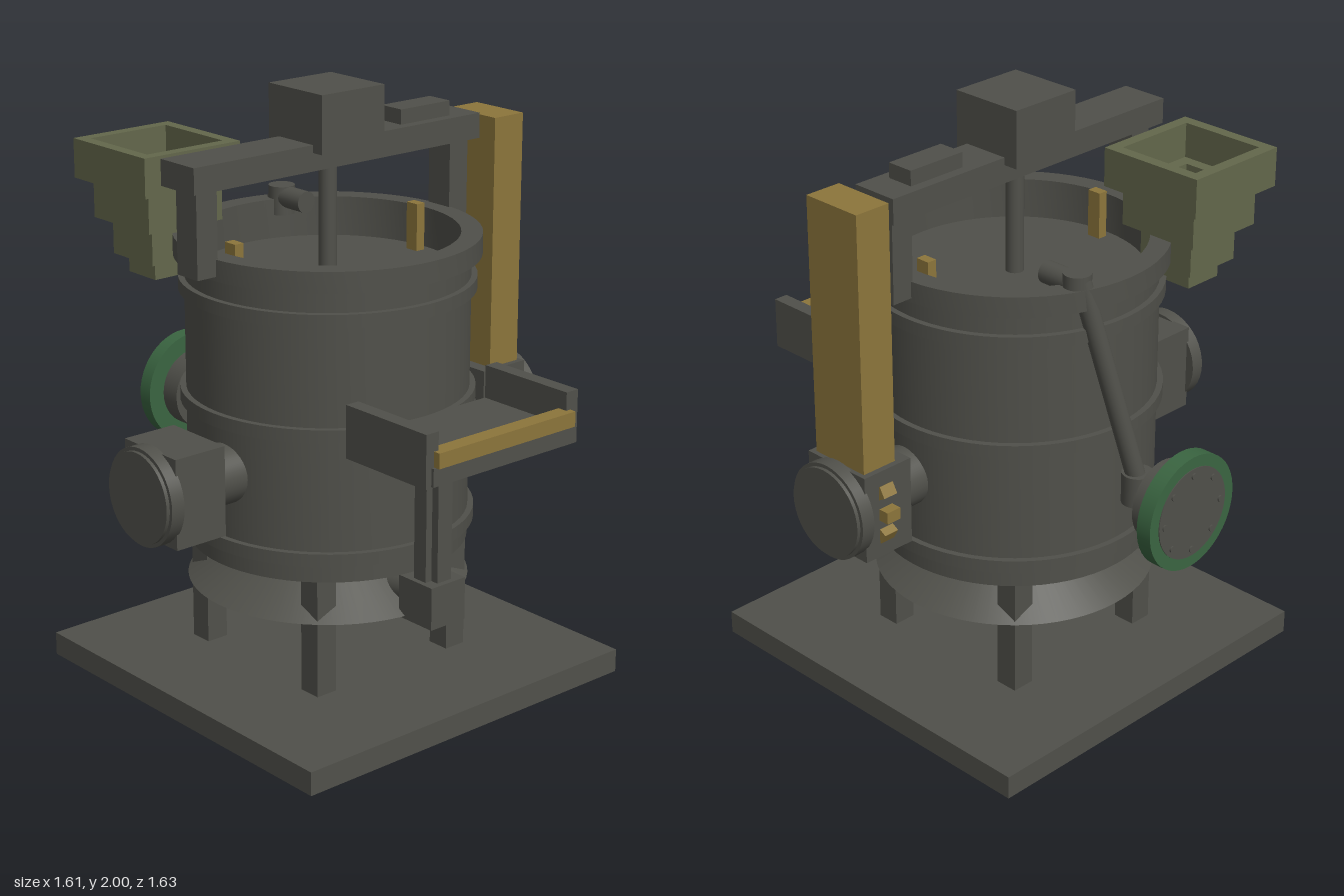
import * as THREE from 'three';
import { toCreasedNormals } from 'three/addons/utils/BufferGeometryUtils.js';

const paint = (name, color) => {
  const m = new THREE.MeshStandardMaterial({ color });
  m.name = name;
  return m;
};

export function createModel() {
  const model = new THREE.Group();
  model.name = 'industrialMixer';
  const steel = paint('darkSteel', 0x50504a);
  const yellow = paint('ochreYellow', 0x8c753b);
  const olive = paint('oliveGreen', 0x63674b);
  const green = paint('valveGreen', 0x3a6541);

  const add = (name, geometry, material, parent = model) => {
    const mesh = new THREE.Mesh(geometry, material);
    mesh.name = name;
    parent.add(mesh);
    return mesh;
  };
  // Box given by its limits on each axis
  const box = (name, mat, x0, x1, y0, y1, z0, z1, parent) => {
    const mesh = add(name, new THREE.BoxGeometry(x1 - x0, y1 - y0, z1 - z0), mat, parent);
    mesh.position.set((x0 + x1) / 2, (y0 + y1) / 2, (z0 + z1) / 2);
    return mesh;
  };
  // Cylinder running from point a to point b
  const rod = (name, mat, a, b, r, sides = 32, parent) => {
    const p = new THREE.Vector3(...a), q = new THREE.Vector3(...b);
    const dir = q.clone().sub(p);
    const mesh = add(name, new THREE.CylinderGeometry(r, r, dir.length(), sides), mat, parent);
    mesh.position.copy(p).add(q).multiplyScalar(0.5);
    mesh.quaternion.setFromUnitVectors(new THREE.Vector3(0, 1, 0), dir.normalize());
    return mesh;
  };
  const lathe = (name, mat, points) => {
    const g = new THREE.LatheGeometry(points.map(([x, y]) => new THREE.Vector2(x, y)), 64);
    return add(name, toCreasedNormals(g, 0.5), mat);
  };

  const cz = -0.03; // tank axis

  // Base plate and legs
  box('basePlate', steel, -0.675, 0.675, 0.005, 0.085, -0.675, 0.675);
  for (const x of [-0.285, 0.285]) {
    for (const z of [0.255, -0.315]) {
      box('leg', steel, x - 0.04, x + 0.04, 0.08, 0.5, z - 0.04, z + 0.04);
    }
  }

  // Tank with raised rim, recessed lid, hoops and flared skirt
  lathe('tank', steel, [
    [0, 0.49], [0.465, 0.49], [0.465, 1.455], [0.5, 1.455],
    [0.5, 1.525], [0.43, 1.525], [0.43, 1.39], [0, 1.39],
  ]).position.z = cz;
  for (const y of [0.572, 0.988, 1.362]) {
    rod('tankHoop', steel, [0, y - 0.022, cz], [0, y + 0.022, cz], 0.485, 64);
  }
  lathe('skirt', steel, [[0, 0.345], [0.47, 0.345], [0.235, 0.492]]).position.z = cz;

  // Overhead beam, motor and mixing shaft
  box('beam', steel, -0.6, 0.595, 1.75, 1.835, -0.115, 0.05);
  box('motor', steel, -0.13, 0.13, 1.81, 2, -0.165, 0.095);
  box('controlBox', steel, 0.275, 0.49, 1.83, 1.885, -0.08, 0.015);
  rod('mixingShaft', steel, [0, 1.38, cz], [0, 1.76, cz], 0.03, 16);
  for (const s of [-1, 1]) {
    box('beamPost', steel, s * 0.53 - 0.04, s * 0.53 + 0.04, 1.47, 1.76, -0.08, 0.02);
    box('lidLug', yellow, s * 0.385 - 0.017, s * 0.385 + 0.017, 1.385, 1.55, -0.055, -0.005);
  }

  // Side bearings: axle, housing and end cap on both sides
  rod('axle', steel, [-0.57, 0.81, 0], [0.57, 0.81, 0], 0.1);
  for (const s of [-1, 1]) {
    const x = s * 0.657;
    box('bearingHousing', steel, x - 0.096, x + 0.096, 0.66, 0.96, -0.13, 0.13);
    rod('endCap', steel, [s * 0.745, 0.81, 0], [s * 0.793, 0.81, 0], 0.162, 40);
    rod('endCapFace', steel, [s * 0.79, 0.81, 0], [s * 0.805, 0.81, 0], 0.15, 40);
  }
  box('axleKey', yellow, 0.52, 0.57, 0.9, 0.92, -0.02, 0.02);

  // Drive column and the toothed wheel below it
  box('driveColumn', yellow, 0.608, 0.737, 0.955, 1.825, -0.11, 0.11);
  const wheel = new THREE.Group();
  wheel.name = 'driveWheel';
  wheel.position.set(0.668, 0.81, 0);
  model.add(wheel);
  rod('wheelHub', yellow, [-0.027, 0, 0], [0.027, 0, 0], 0.125, 24, wheel);
  for (let i = 0; i < 12; i++) {
    const a = (i * Math.PI) / 6;
    const tooth = add('wheelTooth', new THREE.BoxGeometry(0.054, 0.04, 0.06), yellow, wheel);
    tooth.position.set(0, Math.sin(a) * 0.137, Math.cos(a) * 0.137);
    tooth.rotation.x = -a;
  }

  // Front tray on a ribbed post
  box('trayFloor', steel, -0.3, 0.3, 0.95, 1.01, 0.43, 0.8);
  box('trayLip', yellow, -0.29, 0.29, 1.01, 1.06, 0.757, 0.813);
  for (const s of [-1, 1]) {
    box('traySide', steel, s * 0.297 - 0.025, s * 0.297 + 0.025, 0.945, 1.12, 0.43, 0.79);
  }
  box('trayPost', steel, -0.055, 0.055, 0.47, 0.95, 0.455, 0.51);
  box('trayPostRib', steel, -0.03, 0.03, 0.47, 0.95, 0.43, 0.538);
  box('postFoot', steel, -0.073, 0.073, 0.335, 0.48, 0.405, 0.558);

  // Drain pipe with its small handwheel
  rod('drainPipe', steel, [0, 0.41, 0.42], [0, 0.345, -0.03], 0.05, 24);
  const handwheel = new THREE.Group();
  handwheel.name = 'drainHandwheel';
  handwheel.position.set(0.095, 0.397, 0.32);
  handwheel.rotation.y = Math.PI / 2;
  model.add(handwheel);
  add('handwheelRim', new THREE.TorusGeometry(0.068, 0.008, 8, 32), steel, handwheel);
  rod('handwheelSpoke', yellow, [-0.066, 0, 0], [0.066, 0, 0], 0.007, 8, handwheel);
  rod('handwheelSpoke', yellow, [0, -0.066, 0], [0, 0.066, 0], 0.007, 8, handwheel);
  rod('handwheelStem', steel, [0, 0, -0.08], [0, 0, 0.01], 0.012, 12, handwheel);

  // Stepped square hopper, open through the middle
  const square = (h, Type) => {
    const s = new Type();
    s.moveTo(-h, -h).lineTo(h, -h).lineTo(h, h).lineTo(-h, h).closePath();
    return s;
  };
  const tiers = [[0.19, 0.15, 1.68, 1.81], [0.147, 0.105, 1.55, 1.695],
    [0.105, 0.075, 1.43, 1.565], [0.07, 0.055, 1.37, 1.445]];
  for (const [outer, inner, y0, y1] of tiers) {
    const shape = square(outer, THREE.Shape);
    shape.holes.push(square(inner, THREE.Path));
    const g = new THREE.ExtrudeGeometry(shape, { depth: y1 - y0, bevelEnabled: false });
    g.rotateX(-Math.PI / 2);
    add('hopperTier', g, olive).position.set(-0.385, y0, -0.422);
  }

  // Rear flange: green ring, hub, face plate and bolts
  rod('flangeShaft', steel, [0, 0.81, -0.56], [0, 0.81, -0.69], 0.037, 20);
  rod('flangeHub', steel, [0, 0.81, -0.678], [0, 0.81, -0.756], 0.135, 40);
  rod('flangeRing', green, [0, 0.81, -0.752], [0, 0.81, -0.806], 0.195, 48);
  rod('flangeFace', steel, [0, 0.81, -0.8], [0, 0.81, -0.809], 0.155, 48);
  for (let i = 0; i < 8; i++) {
    const a = (i * Math.PI) / 4;
    const x = Math.cos(a) * 0.13, y = 0.81 + Math.sin(a) * 0.13;
    rod('flangeBolt', steel, [x, y, -0.805], [x, y, -0.814], 0.011, 10);
  }

  // Feed pipe rising from the flange over the tank rim
  rod('lowerElbow', steel, [0, 0.76, -0.578], [0, 0.865, -0.578], 0.052, 24);
  rod('feedPipe', steel, [0, 0.83, -0.578], [0.16, 1.55, -0.468], 0.032, 20);
  rod('upperElbow', steel, [0.16, 1.47, -0.455], [0.16, 1.568, -0.455], 0.045, 24);
  rod('feedSpout', steel, [0.16, 1.53, -0.455], [0.16, 1.53, -0.325], 0.037, 20);

  return model;
}
